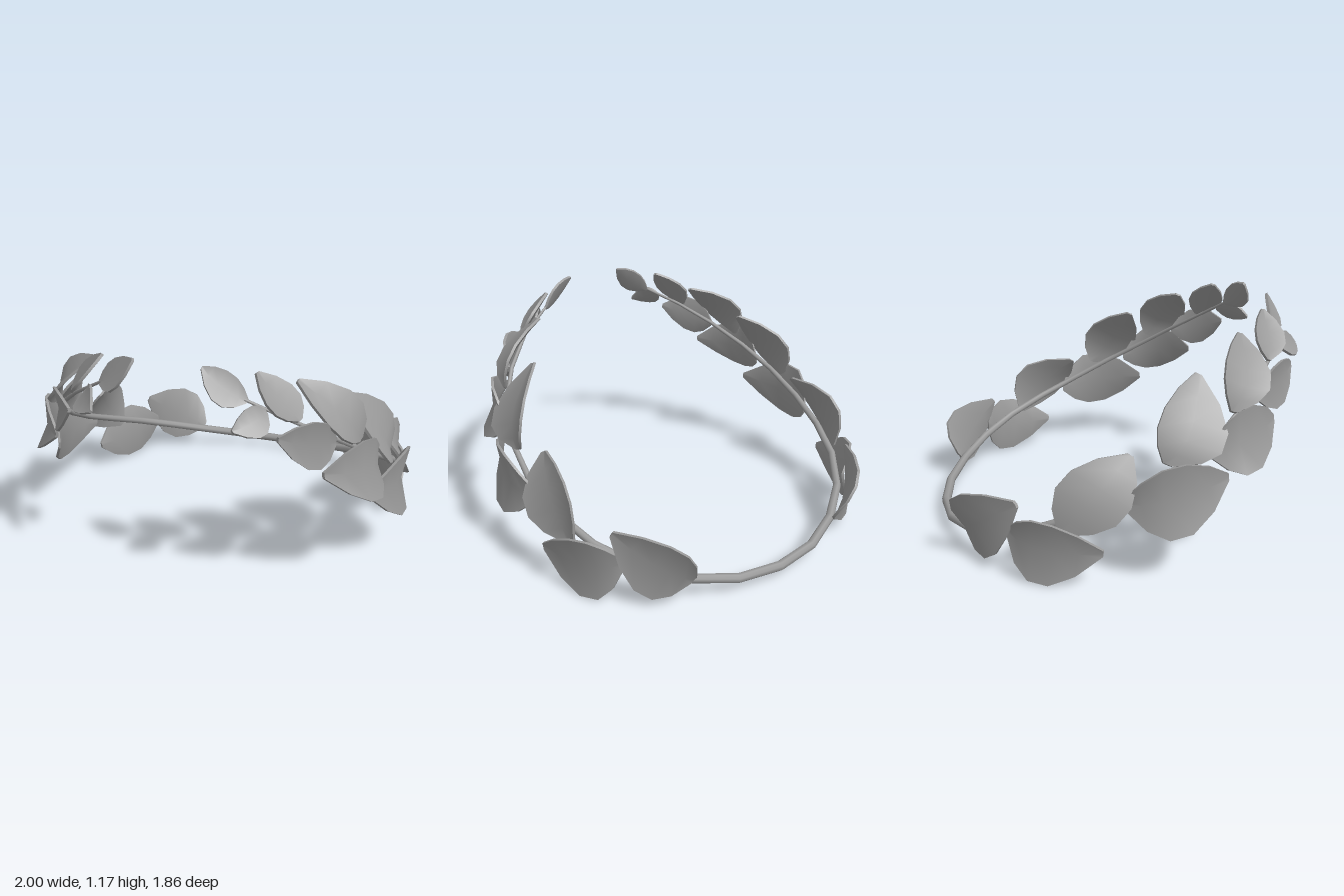
import * as THREE from 'three';
import { toCreasedNormals } from 'three/addons/utils/BufferGeometryUtils.js';

const V = (a) => new THREE.Vector3(...a);
const material = new THREE.MeshStandardMaterial({ color: 0x989898 });

// Half of the stem, from the middle of the back to the front tip
const STEM = [
  [0, 0.067, -0.907], [0.27, 0.082, -0.87], [0.5, 0.128, -0.765], [0.705, 0.205, -0.595],
  [0.83, 0.3, -0.38], [0.89, 0.405, -0.13], [0.89, 0.52, 0.1], [0.835, 0.64, 0.32],
  [0.72, 0.77, 0.51], [0.56, 0.9, 0.67], [0.43, 0.975, 0.755], [0.34, 1.03, 0.785],
];

// Each leaf: base, tip, and the two points where it is widest
const UPPER = [
  [[0.46, 0.13, -0.82], [0.76, 0.37, -0.59], [0.57, 0.35, -0.86], [0.68, 0.07, -0.71]],
  [[0.87, 0.26, -0.4], [0.82, 0.59, -0.07], [0.87, 0.53, -0.39], [0.97, 0.36, -0.13]],
  [[0.89, 0.56, 0.08], [0.68, 0.91, 0.28], [0.86, 0.78, 0.055], [0.9, 0.64, 0.35]],
  [[0.79, 0.75, 0.42], [0.51, 1.05, 0.54], [0.75, 0.95, 0.385], [0.71, 0.86, 0.63]],
  [[0.56, 0.92, 0.68], [0.37, 1.13, 0.71], [0.52, 1.04, 0.62], [0.46, 1.0, 0.8]],
  [[0.35, 1.02, 0.78], [0.16, 1.165, 0.82], [0.28, 1.135, 0.775], [0.24, 1.03, 0.87]],
];
const LOWER = [
  [[0.72, 0.22, -0.63], [0.93, 0.17, -0.22], [0.89, 0.33, -0.49], [0.85, 0, -0.51]],
  [[0.9, 0.385, -0.12], [0.845, 0.455, 0.39], [0.98, 0.585, 0.09], [0.995, 0.24, 0.13]],
  [[0.85, 0.59, 0.28], [0.675, 0.665, 0.67], [0.84, 0.785, 0.47], [0.9, 0.49, 0.5]],
  [[0.7, 0.79, 0.56], [0.5, 0.88, 0.82], [0.65, 0.93, 0.69], [0.64, 0.71, 0.72]],
  [[0.43, 0.975, 0.76], [0.33, 0.935, 0.92], [0.37, 1.015, 0.83], [0.45, 0.905, 0.86]],
];

// Thin blade lofted from base to tip; each section is a shallow V with
// its midrib toward the inside of the wreath
function leafGeometry([base, tip, edgeA, edgeB], side) {
  const rows = [[0, 0.14], [0.18, 0.66], [0.38, 0.97], [0.6, 0.97], [0.82, 0.64], [1, 0.1]];
  const section = [[1, 1], [0, 1], [-1, 1], [-1, -1], [0, -1], [1, -1]];
  const count = section.length;
  const half = edgeA.clone().sub(edgeB).multiplyScalar(0.5);
  const along = tip.clone().sub(base);
  const n = half.clone().cross(along).normalize();
  const fold = -0.22 * half.length() * side;
  // control point so the blade passes midway between the wide points
  const control = edgeA.clone().add(edgeB).addScaledVector(base, -0.5).addScaledVector(tip, -0.5);
  const rib = new THREE.QuadraticBezierCurve3(base, control, tip);
  const pos = [];
  const index = [];
  const quad = (a, b, c, d) => index.push(a, b, c, a, c, d);
  rows.forEach(([t, w], r) => {
    const c = rib.getPoint(t);
    for (const [s, u] of section) {
      const lift = u * 0.007 + (s === 0 ? fold * w : 0);
      pos.push(...c.clone().addScaledVector(half, s * w).addScaledVector(n, lift).toArray());
    }
    if (r === 0) return;
    for (let k = 0; k < count; k++) {
      const a = (r - 1) * count, b = r * count, j = (k + 1) % count;
      quad(a + j, a + k, b + k, b + j);
    }
  });
  // end caps
  const e = (rows.length - 1) * count;
  quad(0, 1, 4, 5);
  quad(1, 2, 3, 4);
  quad(e + 5, e + 4, e + 1, e);
  quad(e + 4, e + 3, e + 2, e + 1);
  const g = new THREE.BufferGeometry();
  g.setAttribute('position', new THREE.Float32BufferAttribute(pos, 3));
  g.setIndex(index);
  return toCreasedNormals(g, 0.7);
}

// Round stem that thins toward both front tips
function stemGeometry() {
  const left = STEM.map(V);
  const right = STEM.slice(1).reverse().map(([x, y, z]) => V([-x, y, z]));
  const path = new THREE.CatmullRomCurve3([...right, ...left]);
  const segments = 22, sides = 8;
  const g = new THREE.TubeGeometry(path, segments, 0.025, sides, false);
  const p = g.attributes.position;
  const v = new THREE.Vector3();
  for (let i = 0; i <= segments; i++) {
    const c = path.getPointAt(i / segments);
    const scale = 1 - 0.72 * Math.abs((2 * i) / segments - 1) ** 1.3;
    for (let k = 0; k <= sides; k++) {
      const id = i * (sides + 1) + k;
      v.fromBufferAttribute(p, id).sub(c).multiplyScalar(scale).add(c);
      p.setXYZ(id, v.x, v.y, v.z);
    }
  }
  return g;
}

export function createModel() {
  const wreath = new THREE.Group();
  wreath.name = 'leafWreath';

  const stem = new THREE.Mesh(stemGeometry(), material);
  stem.name = 'stem';
  wreath.add(stem);

  // Two rows of leaves on each side, mirrored across x
  for (const [side, sx] of [['left', 1], ['right', -1]]) {
    const branch = new THREE.Group();
    branch.name = side + 'Leaves';
    for (const [row, leaves] of [['upper', UPPER], ['lower', LOWER]]) {
      leaves.forEach((leaf, i) => {
        const pts = leaf.map(([x, y, z]) => V([x * sx, y, z]));
        const mesh = new THREE.Mesh(leafGeometry(pts, sx), material);
        mesh.name = `${side} ${row} leaf ${i + 1}`;
        branch.add(mesh);
      });
    }
    wreath.add(branch);
  }
  return wreath;
}
